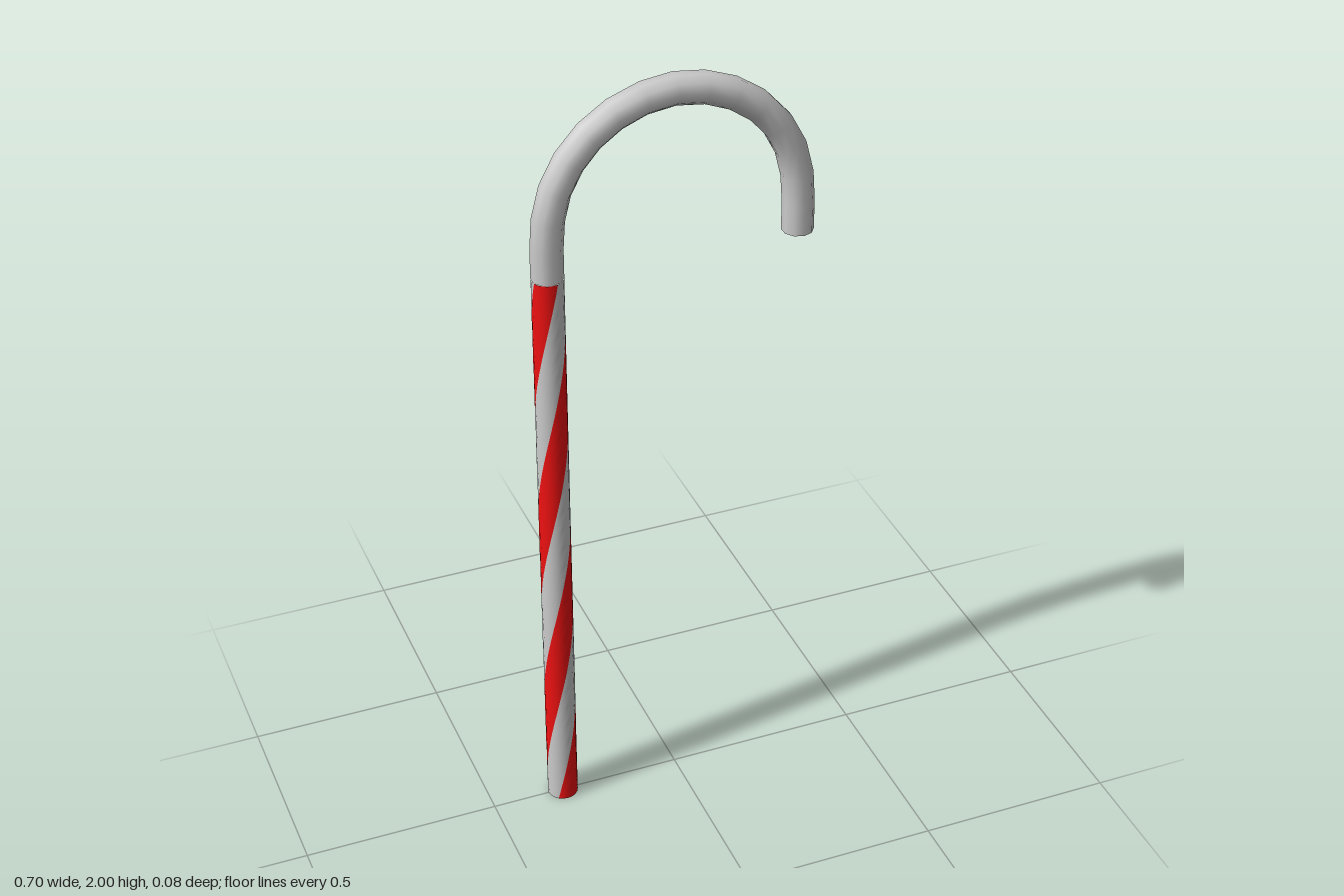
import * as THREE from 'three';

const R = 0.039;        // rod radius
const X = 0.313;        // half the distance between the two legs
const POLE_TOP = 1.54;  // height where the stripes end
const ARC_Y = 1.65;     // height of the hook's centre
const TWIST = THREE.MathUtils.degToRad(504);
const START = THREE.MathUtils.degToRad(-35);

const grey = new THREE.MeshStandardMaterial({ color: 0xcccccc });
const red = new THREE.MeshStandardMaterial({ color: 0xee1111 });

// Quarter of the pole's skin, twisted along its height
function twistedStripe(start) {
  const g = new THREE.CylinderGeometry(R, R, POLE_TOP, 5, 56, true, start, Math.PI / 2);
  g.translate(0, POLE_TOP / 2, 0);
  const pos = g.attributes.position;
  const nor = g.attributes.normal;
  const axis = new THREE.Vector3(0, 1, 0);
  const v = new THREE.Vector3();
  for (let i = 0; i < pos.count; i++) {
    const angle = TWIST * pos.getY(i) / POLE_TOP;
    v.fromBufferAttribute(pos, i).applyAxisAngle(axis, angle);
    pos.setXYZ(i, v.x, v.y, v.z);
    v.fromBufferAttribute(nor, i).applyAxisAngle(axis, angle);
    nor.setXYZ(i, v.x, v.y, v.z);
  }
  return g;
}

export function createModel() {
  const group = new THREE.Group();
  const add = (name, geometry, material, x = 0, y = 0) => {
    const mesh = new THREE.Mesh(geometry, material);
    mesh.name = name;
    mesh.position.set(x, y, 0);
    group.add(mesh);
  };

  // Straight pole: two red and two pale stripes
  for (let i = 0; i < 4; i++) {
    const isRed = i % 2 === 0;
    add(isRed ? 'redStripe' : 'paleStripe', twistedStripe(START + i * Math.PI / 2), isRed ? red : grey, -X);
  }

  // Hook: short riser, half circle, short drop
  const path = new THREE.CurvePath();
  const p = (x, y) => new THREE.Vector3(x, y, 0);
  const points = [p(-X, POLE_TOP)];
  const steps = 12;
  for (let i = 0; i <= steps; i++) {
    const a = Math.PI * (1 - i / steps);
    points.push(p(X * Math.cos(a), ARC_Y + X * Math.sin(a)));
  }
  points.push(p(X, POLE_TOP));
  for (let i = 1; i < points.length; i++) path.add(new THREE.LineCurve3(points[i - 1], points[i]));
  add('hook', new THREE.TubeGeometry(path, 16, R, 10, false), grey);

  // Flat ends facing down
  const cap = (segments) => new THREE.CircleGeometry(R, segments).rotateZ(Math.PI / 10).rotateX(Math.PI / 2);
  add('poleEnd', cap(20), grey, -X, 0);
  add('hookEnd', cap(10), grey, X, POLE_TOP);

  return group;
}
